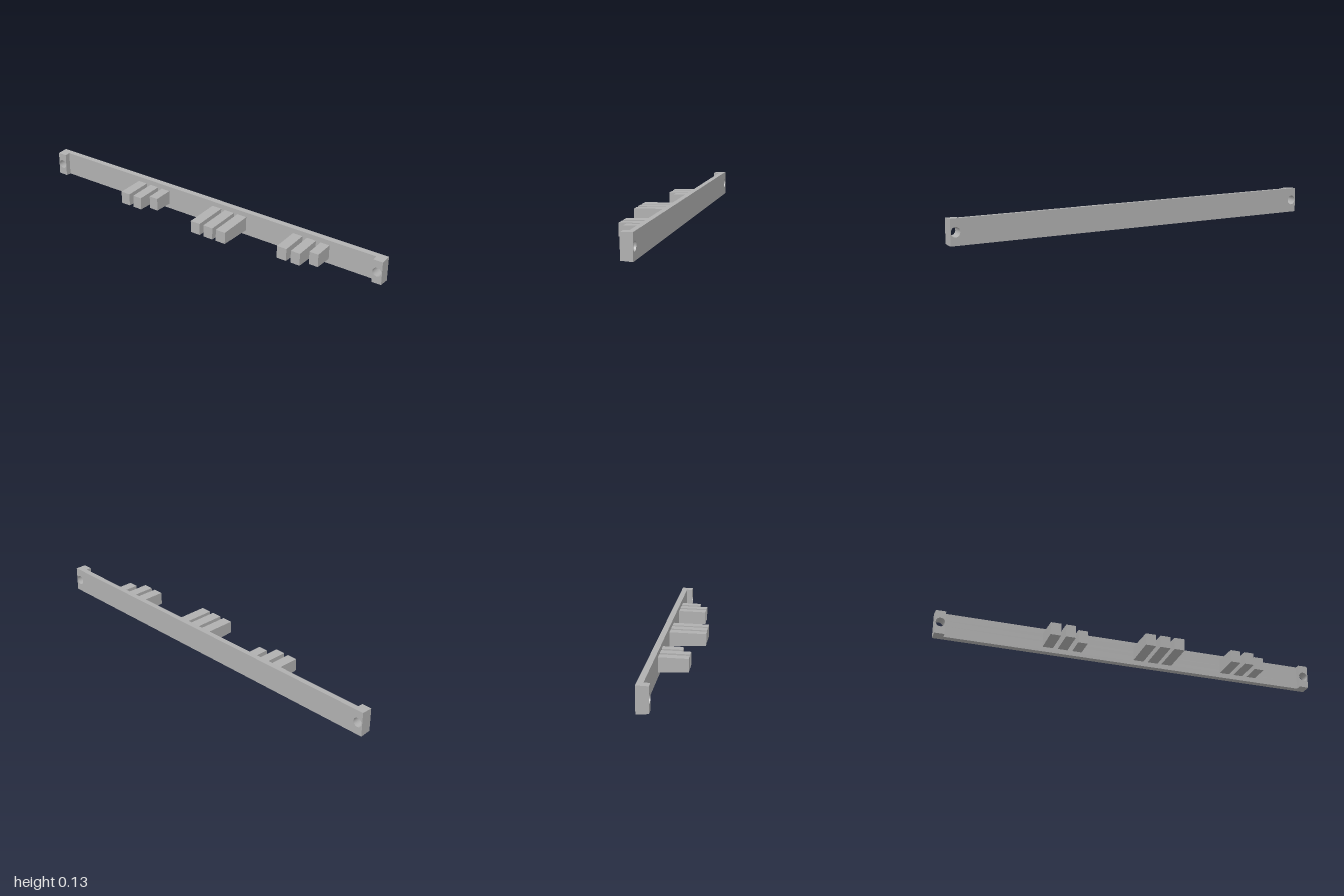
import * as THREE from 'three';

const MID_Y = 0.0635;

// Extrudes a rectangle along z with round holes, narrowing in height towards the front (draft)
function draftedBlock(x0, x1, z0, z1, halfAt, holes = []) {
  const shape = new THREE.Shape();
  shape.moveTo(x0, -1);
  shape.lineTo(x1, -1);
  shape.lineTo(x1, 1);
  shape.lineTo(x0, 1);
  shape.closePath();
  const radius = 0.023;
  for (const hx of holes) {
    const hole = new THREE.Path();
    hole.absellipse(hx, 0, radius, radius / 0.061, 0, Math.PI * 2, true);
    shape.holes.push(hole);
  }
  const geo = new THREE.ExtrudeGeometry(shape, { depth: z1 - z0, bevelEnabled: false, curveSegments: 16 });
  geo.translate(0, 0, z0);
  const p = geo.attributes.position;
  for (let i = 0; i < p.count; i++) p.setY(i, MID_Y + p.getY(i) * halfAt(p.getZ(i)));
  geo.computeVertexNormals();
  return geo;
}

export function createModel() {
  const group = new THREE.Group();
  const grey = new THREE.MeshStandardMaterial({ color: 0xb0b0b0 });
  grey.name = 'plain grey';

  const add = (name, geo) => {
    const mesh = new THREE.Mesh(geo, grey);
    mesh.name = name;
    group.add(mesh);
  };

  const back = -0.107, face = -0.078, bossFront = -0.049;
  const plateHalf = z => 0.0635 - 0.05 * (z - back);
  const toothHalf = z => 0.031 + 0.031 * (0.107 - z);

  // Long bar with a screw hole at each end
  add('bar', draftedBlock(-1, 1, back, face, plateHalf, [-0.974, 0.974]));

  // Raised end pads around the screw holes
  add('leftEndPad', draftedBlock(0.95, 1, face, bossFront, plateHalf, [0.974]));
  add('rightEndPad', draftedBlock(-1, -0.95, face, bossFront, plateHalf, [-0.974]));

  // Three groups of teeth: [x start, x end, front z]
  const teeth = {
    rightTooth: [[-0.457, -0.404, 0.066], [-0.379, -0.329, 0.066], [-0.304, -0.255, 0.024]],
    middleTooth: [[0.021, 0.075, 0.107], [0.098, 0.152, 0.107], [0.173, 0.227, 0.107]],
    leftTooth: [[0.5, 0.553, 0.066], [0.578, 0.628, 0.066], [0.654, 0.703, 0.024]],
  };
  for (const [name, list] of Object.entries(teeth)) {
    list.forEach(([x0, x1, z], i) => add(name + (i + 1), draftedBlock(x0, x1, face, z, toothHalf)));
  }
  return group;
}
